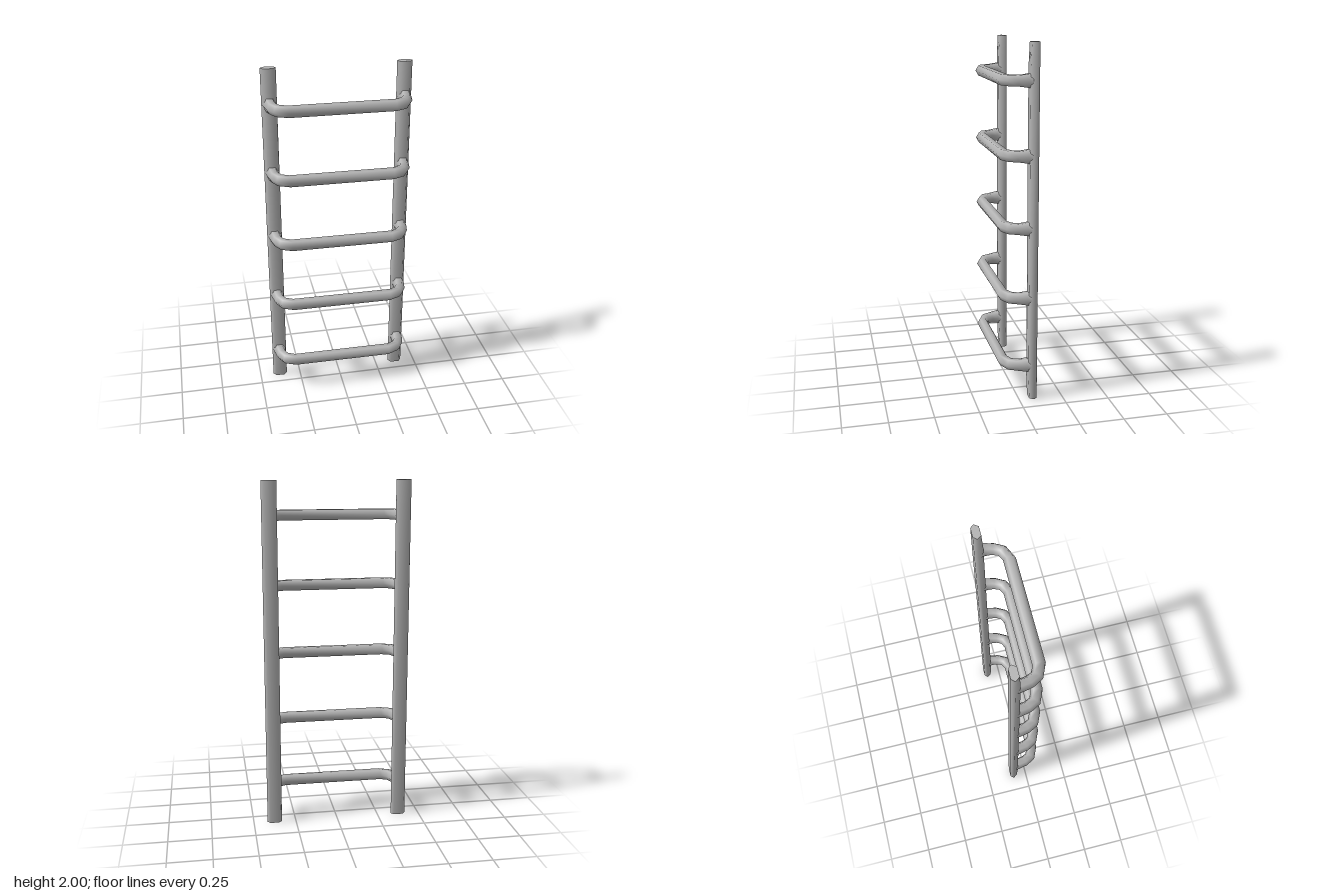
import * as THREE from 'three';

// Skin a list of equal-sized cross-sections, smooth along the sides, with flat end caps.
function loft(rings) {
  const n = rings[0].length;
  const pos = rings.flat(2);
  const index = [];
  for (let i = 0; i < rings.length - 1; i++) {
    for (let j = 0; j < n; j++) {
      const a = i * n + j, b = i * n + (j + 1) % n;
      index.push(a, b, b + n, a, b + n, a + n);
    }
  }
  const start = pos.length / 3, end = start + n;
  pos.push(...rings[0].flat(), ...rings[rings.length - 1].flat());
  for (let j = 1; j < n - 1; j++) {
    index.push(start, start + j + 1, start + j, end, end + j, end + j + 1);
  }
  const geo = new THREE.BufferGeometry();
  geo.setAttribute('position', new THREE.Float32BufferAttribute(pos, 3));
  geo.setIndex(index);
  geo.computeVertexNormals();
  return geo;
}

// Flattened hexagonal upright, slightly slimmer at its two ends
function railGeometry() {
  const section = (y, swell) => [
    [-0.026, y, 0.021 + swell], [0.026, y, 0.021 + swell], [0.043, y, -0.003],
    [0.026, y, -0.022], [-0.026, y, -0.022], [-0.043, y, -0.003],
  ];
  return loft([section(0, 0), section(0.13, 0.006), section(1.87, 0.006), section(2, 0)]);
}

// Bent hexagonal bar: each section runs from its outer edge to its inner edge
function rungGeometry() {
  const half = [ // outer x, outer z, inner x, inner z, half height
    [0.415, -0.068, 0.337, -0.068, 0.038],
    [0.412, -0.045, 0.341, -0.045, 0.036],
    [0.401, 0.01, 0.337, -0.012, 0.029],
    [0.37, 0.066, 0.324, 0.018, 0.029],
    [0.293, 0.1, 0.293, 0.033, 0.029],
  ];
  const section = ([ox, oz, ix, iz, h], side) => {
    const at = (t, y) => [side * (ox + (ix - ox) * t), y, oz + (iz - oz) * t];
    return [at(0.75, h), at(0.25, h), at(0, 0), at(0.25, -h), at(0.75, -h), at(1, 0)];
  };
  return loft([
    ...half.map((s) => section(s, -1)),
    ...half.slice().reverse().map((s) => section(s, 1)),
  ]);
}

export function createModel() {
  const model = new THREE.Group();
  model.name = 'ladder';
  const metal = new THREE.MeshStandardMaterial({ color: 0xb4b4b4 });
  metal.name = 'grey metal';

  // Two uprights
  const railGeo = railGeometry();
  for (const side of [-1, 1]) {
    const rail = new THREE.Mesh(railGeo, metal);
    rail.name = side > 0 ? 'leftRail' : 'rightRail';
    rail.position.set(side * 0.376, 0, -0.081);
    model.add(rail);
  }

  // Five rungs standing out in front of the uprights
  const rungGeo = rungGeometry();
  for (let i = 0; i < 5; i++) {
    const rung = new THREE.Mesh(rungGeo, metal);
    rung.name = `rung${i + 1}`;
    rung.position.y = 0.2 + i * 0.4;
    model.add(rung);
  }
  return model;
}
